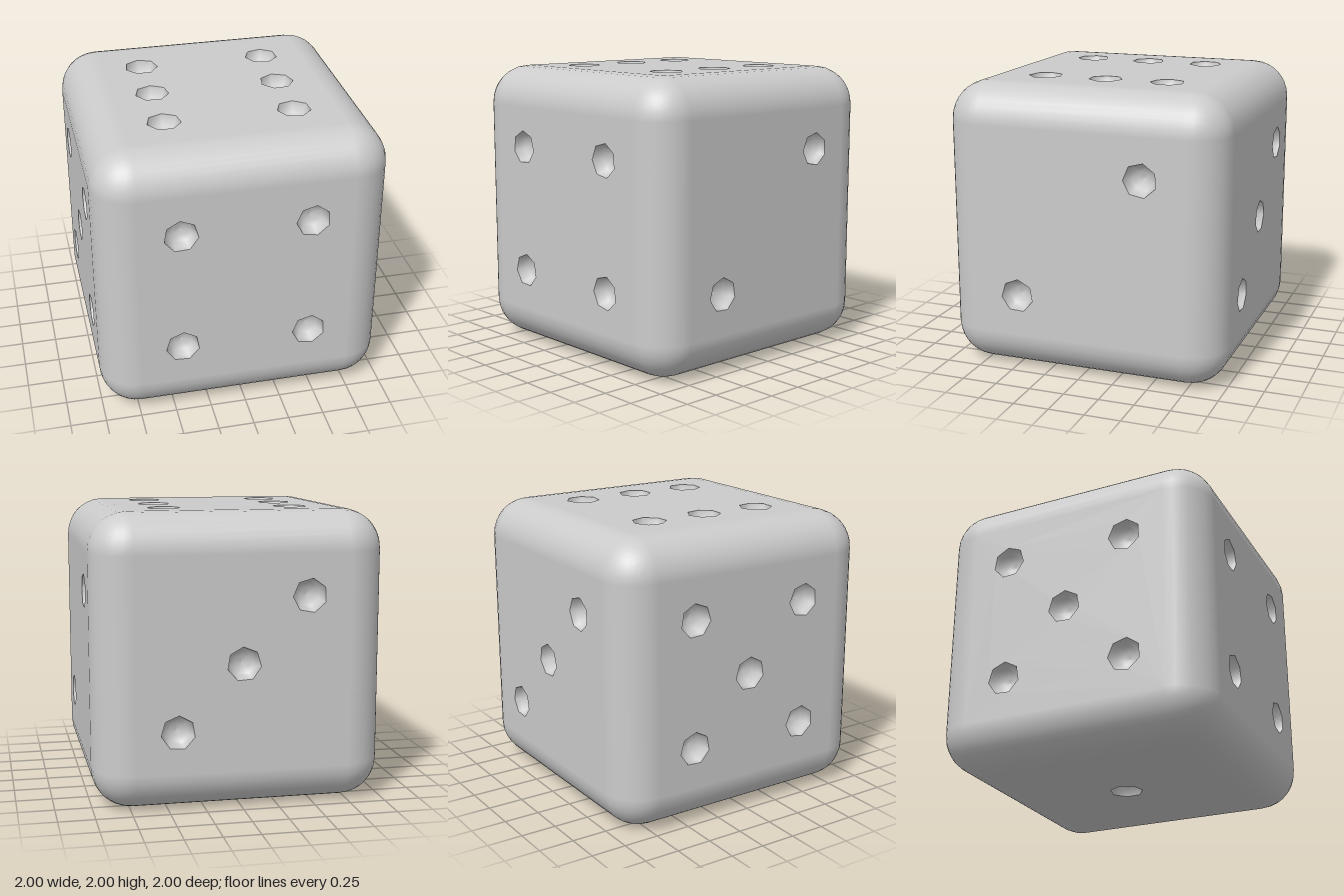
import * as THREE from 'three';
import { RoundedBoxGeometry } from 'three/addons/geometries/RoundedBoxGeometry.js';

const HALF = 1;        // half the cube's side
const ROUND = 0.27;    // edge rounding radius
const PIP_R = 0.117;
const PIP_DEPTH = 0.1;
const SIDES = 7;
const D = 0.445;       // pip spacing

const material = new THREE.MeshStandardMaterial({ color: 0xcccccc });

// Rounded edges and corners: a rounded box without its six flat faces
function roundedEdges() {
  const box = new RoundedBoxGeometry(HALF * 2, HALF * 2, HALF * 2, 4, ROUND);
  const source = box.index ? box.toNonIndexed() : box;
  const p = source.attributes.position;
  const n = source.attributes.normal;
  const positions = [], normals = [];
  for (let i = 0; i < p.count; i += 3) {
    const corners = [i, i + 1, i + 2];
    const flat = [0, 1, 2].some((axis) =>
      corners.every((c) => Math.abs(p.getComponent(c, axis)) > HALF - 1e-4));
    if (flat) continue;
    for (const c of corners) {
      positions.push(p.getX(c), p.getY(c), p.getZ(c));
      normals.push(n.getX(c), n.getY(c), n.getZ(c));
    }
  }
  const geometry = new THREE.BufferGeometry();
  geometry.setAttribute('position', new THREE.Float32BufferAttribute(positions, 3));
  geometry.setAttribute('normal', new THREE.Float32BufferAttribute(normals, 3));
  return geometry;
}

// Concave seven-sided bowl, its rim in the XY plane and opening towards +z
function bowl(turn) {
  const profile = [];
  for (let i = 0; i <= 4; i++) {
    const a = (i / 4) * Math.PI / 2;
    profile.push(new THREE.Vector2(i === 4 ? 0 : PIP_R * Math.cos(a), -PIP_DEPTH * Math.sin(a)));
  }
  return new THREE.LatheGeometry(profile, SIDES).rotateX(Math.PI / 2).rotateZ(turn);
}

// Hole outline matching the bowl's rim
function rim(u, v, turn) {
  const points = [];
  for (let i = 0; i < SIDES; i++) {
    const a = (i / SIDES) * Math.PI * 2 - Math.PI / 2 + turn;
    points.push(new THREE.Vector2(u + PIP_R * Math.cos(a), v + PIP_R * Math.sin(a)));
  }
  return new THREE.Path(points);
}

// One flat face with its pips
function face(name, pips, rotX, rotY) {
  const group = new THREE.Group();
  group.name = name;
  const s = HALF - ROUND;
  const shape = new THREE.Shape([
    new THREE.Vector2(-s, -s), new THREE.Vector2(s, -s),
    new THREE.Vector2(s, s), new THREE.Vector2(-s, s),
  ]);
  pips.forEach(([u, v], i) => {
    const turn = 0.27 + (i % 3) * 0.12;
    shape.holes.push(rim(u, v, turn));
    const pip = new THREE.Mesh(bowl(turn), material);
    pip.name = 'pip';
    pip.position.set(u, v, HALF);
    group.add(pip);
  });
  const panel = new THREE.Mesh(new THREE.ShapeGeometry(shape), material);
  panel.name = 'facePanel';
  panel.position.z = HALF;
  group.add(panel);
  group.rotation.set(rotX, rotY, 0);
  return group;
}

export function createModel() {
  const model = new THREE.Group();
  model.name = 'die';
  const body = new THREE.Group();
  body.name = 'body';
  body.position.y = HALF;
  model.add(body);

  const edges = new THREE.Mesh(roundedEdges(), material);
  edges.name = 'roundedEdges';
  body.add(edges);

  // Pip layouts, as seen looking straight at each face
  const two = [[D, D], [-D, -D]];
  const three = [...two, [0, 0]];
  const four = [...two, [-D, D], [D, -D]];
  const five = [...four, [0, 0]];
  const six = [...four, [-D, 0], [D, 0]];
  const Q = Math.PI / 2;
  body.add(
    face('frontFace', four, 0, 0),
    face('backFace', three, 0, Math.PI),
    face('leftFace', two, 0, Q),
    face('rightFace', five, 0, -Q),
    face('topFace', six, -Q, 0),
    face('bottomFace', [[0, 0]], Q, 0),
  );
  return model;
}
